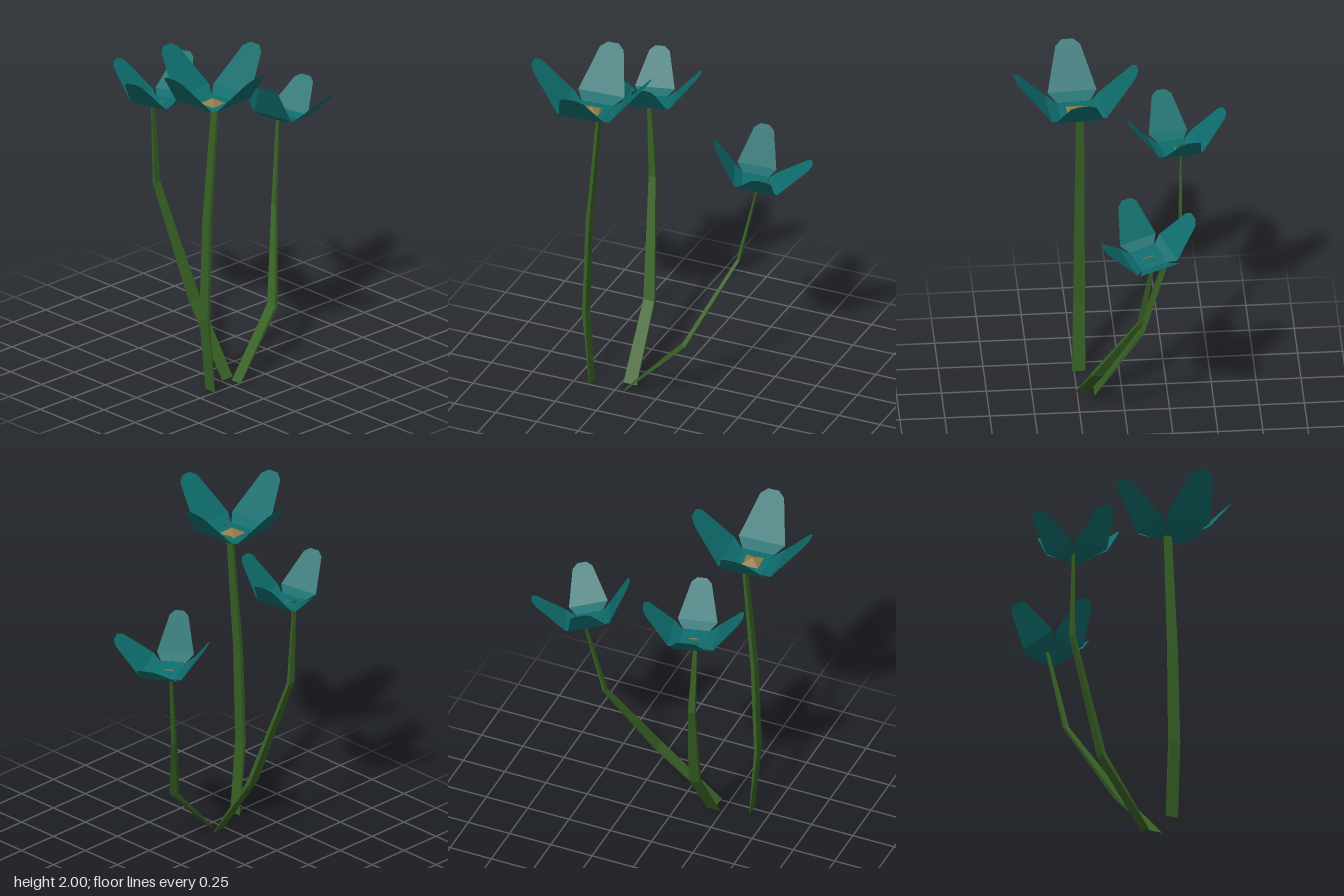
import * as THREE from 'three';

const petalTeal = new THREE.MeshStandardMaterial({ color: 0x0e6c6c, side: THREE.DoubleSide });
const stemGreen = new THREE.MeshStandardMaterial({ color: 0x376024 });
const seedTan = new THREE.MeshStandardMaterial({ color: 0x8f7a4a });
petalTeal.name = 'petal teal';
stemGreen.name = 'stem green';
seedTan.name = 'seed tan';

// Faceted geometry from points and polygon faces
function faceted(points, faces) {
  const geo = new THREE.BufferGeometry();
  geo.setAttribute('position', new THREE.Float32BufferAttribute(points.flat(), 3));
  const index = [];
  for (const f of faces) for (let i = 1; i < f.length - 1; i++) index.push(f[0], f[i], f[i + 1]);
  geo.setIndex(index);
  const flat = geo.toNonIndexed();
  flat.computeVertexNormals();
  return flat;
}

function addMesh(parent, geo, material, name) {
  const mesh = new THREE.Mesh(geo, material);
  mesh.name = name;
  parent.add(mesh);
  return mesh;
}

// Flat, tapering stem swept through a few bends
function stemGeometry(path, widths, thicknesses, sideDir) {
  const pts = path.map((p) => new THREE.Vector3(...p));
  const side = new THREE.Vector3(...sideDir);
  const points = [], faces = [];
  pts.forEach((p, i) => {
    const next = pts[Math.min(i + 1, pts.length - 1)];
    const prev = pts[Math.max(i - 1, 0)];
    const normal = next.clone().sub(prev).cross(side).normalize();
    for (const [s, n] of [[1, 1], [-1, 1], [-1, -1], [1, -1]]) {
      points.push(p.clone()
        .addScaledVector(side, s * widths[i] / 2)
        .addScaledVector(normal, n * thicknesses[i] / 2).toArray());
    }
    if (i > 0) {
      const a = (i - 1) * 4, b = i * 4;
      for (let k = 0; k < 4; k++) {
        const m = (k + 1) % 4;
        faces.push([a + k, a + m, b + m, b + k]);
      }
    }
  });
  const e = points.length - 4;
  faces.push([3, 2, 1, 0], [e, e + 1, e + 2, e + 3]);
  return faceted(points, faces);
}

// One petal: rows of [distance, height, half width]
function petalGeometry() {
  const rows = [[0.095, 0, 0.093], [0.155, 0.032, 0.137], [0.322, 0.23, 0.07], [0.345, 0.255, 0.032]];
  const points = [], faces = [];
  rows.forEach(([r, y, w], i) => {
    points.push([-w, y, r], [w, y, r]);
    if (i > 0) faces.push([2 * i - 2, 2 * i, 2 * i + 1, 2 * i - 1]);
  });
  return faceted(points, faces);
}

// Four-petalled flower head with a square base and a seed centre
function makeFlower({ position, rotation, scale, seed }) {
  const flower = new THREE.Group();
  flower.name = 'flowerHead';
  const petal = petalGeometry();
  for (let k = 0; k < 4; k++) {
    addMesh(flower, petal, petalTeal, 'petal').rotation.y = k * Math.PI / 2;
  }
  const base = new THREE.PlaneGeometry(0.188, 0.188).rotateX(-Math.PI / 2);
  addMesh(flower, base, petalTeal, 'flowerBase');
  const cone = new THREE.ConeGeometry(0.071, 0.03, 4, 1).toNonIndexed();
  cone.computeVertexNormals();
  cone.rotateY(Math.PI / 4);
  const centre = addMesh(flower, cone, seedTan, 'seedCentre');
  centre.position.y = 0.016 * seed[1];
  centre.scale.set(...seed);
  flower.position.set(...position);
  flower.rotation.set(...rotation);
  flower.scale.setScalar(scale);
  return flower;
}

const plants = [
  { // tall front flower
    path: [[0.225, 0.012, 0.4], [0.221, 0.45, 0.438], [0.22, 1.03, 0.418], [0.221, 1.75, 0.355]],
    widths: [0.074, 0.066, 0.056, 0.044], thicknesses: [0.003, 0.02, 0.022, 0.015], side: [1, 0, 0],
    head: { position: [0.241, 1.745, 0.395], rotation: [0, 0.065, 0], scale: 1, seed: [1, 1, 1] },
  },
  { // low back flower, leaning backwards
    path: [[0.225, 0.004, 0.2], [0.16, 0.345, -0.14], [-0.06, 0.82, -0.365], [-0.13, 1.31, -0.46]],
    widths: [0.07, 0.062, 0.03, 0.02], thicknesses: [0.003, 0.024, 0.018, 0.006], side: [1, 0, 0],
    head: { position: [-0.097, 1.31, -0.447], rotation: [-0.25, 0.4, 0], scale: 0.81, seed: [0.8, 0.3, 0.06] },
  },
  { // middle side flower
    path: [[0.155, 0.003, 0.2], [-0.11, 0.4, 0.2], [-0.33, 1.06, 0.28], [-0.335, 1.56, 0.305]],
    widths: [0.08, 0.066, 0.042, 0.022], thicknesses: [0.003, 0.024, 0.018, 0.008], side: [0, 0, 1],
    head: { position: [-0.3, 1.55, 0.278], rotation: [0, 0.24, 0.05], scale: 0.82, seed: [0.06, 0.3, 0.65] },
  },
];

export function createModel() {
  const model = new THREE.Group();
  model.name = 'flowerCluster';
  for (const { path, widths, thicknesses, side, head } of plants) {
    const plant = new THREE.Group();
    plant.name = 'flower';
    addMesh(plant, stemGeometry(path, widths, thicknesses, side), stemGreen, 'stem');
    plant.add(makeFlower(head));
    model.add(plant);
  }
  return model;
}
